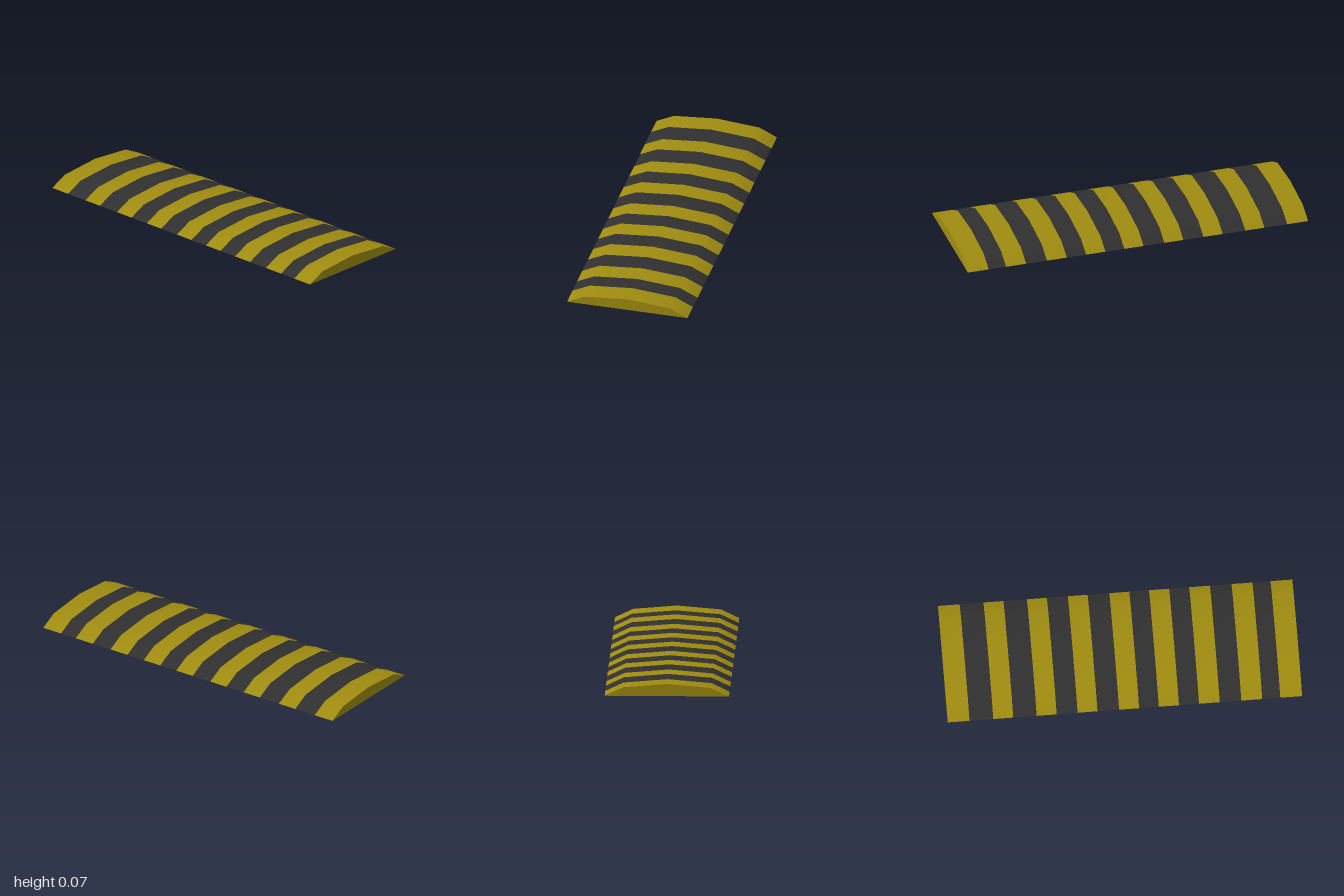
import * as THREE from 'three';

// Half-open ridge cross-section as [z, y], front to back
const PROFILE = [[0.35, 0], [0.248, 0.049], [0, 0.07], [-0.248, 0.049], [-0.35, 0]];

// Band edges along x; bands alternate yellow, black, yellow...
const EDGES = [-1, -0.877, -0.743, -0.63, -0.498, -0.385, -0.267, -0.155, -0.033,
  0.08, 0.191, 0.305, 0.418, 0.535, 0.657, 0.775, 0.877, 1];

// Curved top surface between two x positions, smooth across the ridge
function bandGeometry(x0, x1) {
  const positions = [];
  const index = [];
  PROFILE.forEach(([z, y], i) => {
    positions.push(x0, y, z, x1, y, z);
    if (i < PROFILE.length - 1) {
      const a = i * 2;
      index.push(a, a + 1, a + 3, a, a + 3, a + 2);
    }
  });
  const geometry = new THREE.BufferGeometry();
  geometry.setAttribute('position', new THREE.Float32BufferAttribute(positions, 3));
  geometry.setIndex(index);
  geometry.computeVertexNormals();
  return geometry;
}

export function createModel() {
  const yellow = new THREE.MeshStandardMaterial({ color: 0xa08c10, side: THREE.DoubleSide });
  yellow.name = 'safetyYellow';
  const black = new THREE.MeshStandardMaterial({ color: 0x303030, side: THREE.DoubleSide });
  black.name = 'rubberBlack';

  const group = new THREE.Group();
  group.name = 'speedBump';

  // Striped shell, open underneath
  for (let i = 0; i < EDGES.length - 1; i++) {
    const isBlack = i % 2 === 1;
    const band = new THREE.Mesh(bandGeometry(EDGES[i], EDGES[i + 1]), isBlack ? black : yellow);
    band.name = isBlack ? 'blackStripe' : 'yellowStripe';
    group.add(band);
  }

  // Flat end caps
  const outline = new THREE.Shape(PROFILE.map(([z, y]) => new THREE.Vector2(z, y)));
  for (const side of [1, -1]) {
    const cap = new THREE.Mesh(new THREE.ShapeGeometry(outline), yellow);
    cap.name = side > 0 ? 'leftEndCap' : 'rightEndCap';
    cap.rotation.y = side * Math.PI / 2;
    cap.position.x = side;
    group.add(cap);
  }
  return group;
}
